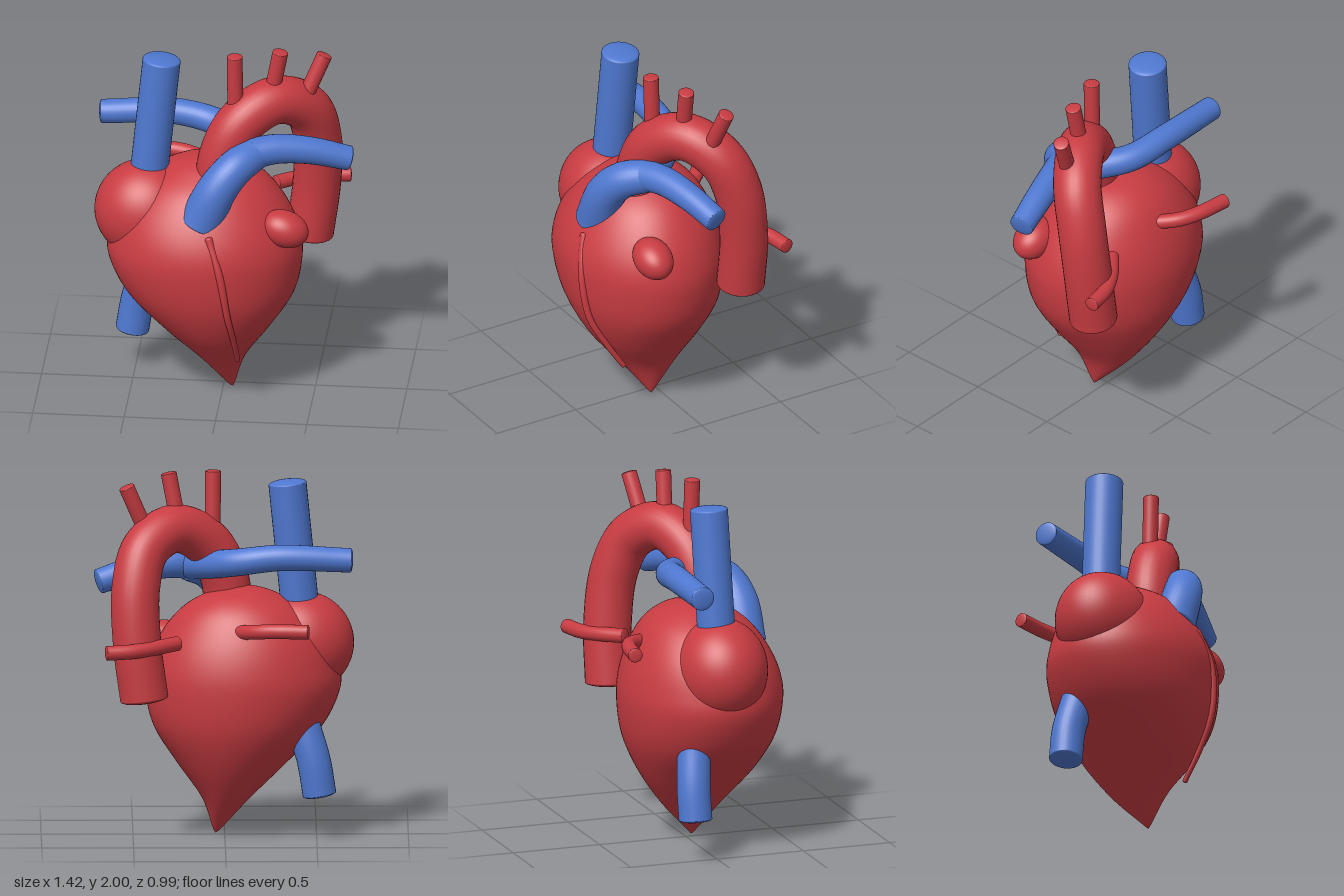
import * as THREE from 'three';
import { mergeVertices } from 'three/addons/utils/BufferGeometryUtils.js';

const red = new THREE.MeshStandardMaterial({ color: 0xc83c42 });
red.name = 'arterial red';
const blue = new THREE.MeshStandardMaterial({ color: 0x4f78d0 });
blue.name = 'venous blue';

const vec = (p) => new THREE.Vector3(...p);

// Weld seams and recompute smooth normals
function smooth(geometry) {
  geometry.deleteAttribute('uv');
  geometry.deleteAttribute('normal');
  const welded = mergeVertices(geometry, 1e-5);
  welded.computeVertexNormals();
  return welded;
}

function ellipsoid(name, material, center, radii, tilt = 0) {
  const mesh = new THREE.Mesh(new THREE.SphereGeometry(1, 48, 32), material);
  mesh.name = name;
  mesh.position.set(...center);
  mesh.scale.set(...radii);
  mesh.rotation.z = tilt;
  return mesh;
}

// Curved vessel tapering from r0 to r1, closed with low domes
function vessel(name, material, points, r0, r1 = r0, dome = 0.2) {
  const group = new THREE.Group();
  group.name = name;
  const curve = new THREE.CatmullRomCurve3(points.map(vec));
  const steps = 48, sides = 28;
  const geo = new THREE.TubeGeometry(curve, steps, 1, sides);
  const pos = geo.attributes.position;
  const v = new THREE.Vector3();
  for (let i = 0; i < pos.count; i++) {
    const t = Math.floor(i / (sides + 1)) / steps;
    const c = curve.getPointAt(t);
    v.fromBufferAttribute(pos, i).sub(c).multiplyScalar(r0 + (r1 - r0) * t).add(c);
    pos.setXYZ(i, v.x, v.y, v.z);
  }
  const wall = new THREE.Mesh(smooth(geo), material);
  wall.name = name + ' wall';
  group.add(wall);
  for (const [t, r, sign] of [[0, r0, -1], [1, r1, 1]]) {
    const cap = new THREE.Mesh(new THREE.SphereGeometry(1, sides, 10, 0, Math.PI * 2, 0, Math.PI / 2), material);
    cap.name = name + ' end';
    cap.position.copy(curve.getPointAt(t));
    cap.scale.set(r, r * dome, r);
    cap.quaternion.setFromUnitVectors(new THREE.Vector3(0, 1, 0), curve.getTangentAt(t).multiplyScalar(sign));
    group.add(cap);
  }
  return group;
}

// Ventricles: a lathe reshaped by side and front/back outlines
function ventricles() {
  // height, right edge, left edge, front edge, back edge
  const rows = [
    [0.0, 0.05, 0.05, 0.05, 0.05],
    [0.03, 0.015, 0.065, 0.075, 0.02],
    [0.2, -0.14, 0.125, 0.2, -0.14],
    [0.4, -0.345, 0.265, 0.36, -0.28],
    [0.6, -0.535, 0.39, 0.455, -0.37],
    [0.8, -0.63, 0.432, 0.487, -0.4],
    [0.95, -0.62, 0.415, 0.475, -0.39],
    [1.1, -0.56, 0.35, 0.41, -0.345],
    [1.235, -0.44, 0.245, 0.31, -0.27],
    [1.32, -0.3, 0.115, 0.19, -0.17],
    [1.358, -0.19, -0.02, 0.1, -0.06],
    [1.367, -0.11, -0.11, 0.03, 0.03],
  ];
  const sides = new THREE.CatmullRomCurve3(rows.map((r) => new THREE.Vector3(r[1], r[0], r[2])), false, 'catmullrom');
  const depth = new THREE.CatmullRomCurve3(rows.map((r) => new THREE.Vector3(r[3], r[0], r[4])), false, 'catmullrom');
  const rings = 72, around = 64;
  const profile = Array.from({ length: rings + 1 }, (_, i) => new THREE.Vector2(1, i / rings));
  const geo = new THREE.LatheGeometry(profile, around);
  const pos = geo.attributes.position;
  for (let i = 0; i < pos.count; i++) {
    const t = pos.getY(i), s = sides.getPoint(t), d = depth.getPoint(t);
    pos.setXYZ(i,
      (s.x + s.z) / 2 + pos.getX(i) * (s.z - s.x) / 2,
      s.y,
      (d.x + d.z) / 2 + pos.getZ(i) * (d.x - d.z) / 2);
  }
  const mesh = new THREE.Mesh(smooth(geo), red);
  mesh.name = 'ventricles';
  return mesh;
}

export function createModel() {
  const heart = new THREE.Group();
  heart.name = 'heart';

  // Chambers
  heart.add(
    ventricles(),
    ellipsoid('right atrium', red, [-0.42, 1.05, 0.05], [0.285, 0.28, 0.255]),
    ellipsoid('left auricle', red, [0.352, 1.043, 0.22], [0.134, 0.1, 0.105], -0.35),
  );

  // Aortic arch and its three branches
  heart.add(vessel('aorta', red, [
    [-0.02, 1.22, 0.1], [0.0, 1.4, 0.09], [0.09, 1.59, 0.06], [0.27, 1.69, -0.04],
    [0.43, 1.6, -0.16], [0.485, 1.4, -0.24], [0.48, 1.1, -0.28], [0.44, 0.79, -0.285],
  ], 0.132, 0.132, 0.2));
  const branches = [
    [[0.066, 1.6, 0.05], [0.063, 1.99, 0.06]],
    [[0.25, 1.7, -0.03], [0.305, 1.99, -0.02]],
    [[0.42, 1.66, -0.09], [0.535, 1.93, -0.135]],
  ];
  branches.forEach((p, i) => heart.add(vessel('arch branch ' + (i + 1), red, p, 0.043)));

  // Great veins
  heart.add(
    vessel('superior vena cava', blue, [[-0.415, 1.2, 0.03], [-0.342, 1.93, 0.01]], 0.104),
    vessel('inferior vena cava', blue, [
      [-0.515, 0.24, -0.13], [-0.485, 0.42, -0.13], [-0.42, 0.65, -0.1], [-0.38, 0.9, -0.05],
    ], 0.092),
  );

  // Pulmonary trunk and its two branches
  heart.add(
    vessel('pulmonary trunk', blue, [
      [-0.1, 1.1, 0.3], [-0.01, 1.3, 0.3], [0.08, 1.41, 0.255], [0.19, 1.465, 0.15],
    ], 0.122, 0.092),
    vessel('left pulmonary artery', blue, [
      [0.17, 1.465, 0.17], [0.3, 1.475, 0.12], [0.48, 1.45, 0.07], [0.685, 1.39, 0.02],
    ], 0.086, 0.068),
    vessel('right pulmonary artery', blue, [
      [0.18, 1.465, 0.13], [0.06, 1.49, -0.02], [-0.07, 1.515, -0.12],
      [-0.3, 1.545, -0.16], [-0.685, 1.53, -0.15],
    ], 0.08, 0.066),
  );

  // Pulmonary veins behind
  heart.add(
    vessel('right pulmonary vein', red, [
      [-0.45, 1.18, -0.455], [-0.28, 1.18, -0.43], [-0.17, 1.17, -0.38], [-0.07, 1.15, -0.27],
    ], 0.04),
    vessel('left pulmonary vein', red, [
      [0.645, 1.065, -0.455], [0.5, 1.07, -0.425], [0.38, 1.08, -0.36], [0.26, 1.09, -0.26],
    ], 0.04),
  );

  // Coronary artery down the front
  heart.add(vessel('coronary artery', red, [
    [-0.045, 1.055, 0.42], [0.02, 0.85, 0.472], [0.06, 0.6, 0.45], [0.085, 0.42, 0.36], [0.098, 0.255, 0.255],
  ], 0.023, 0.014, 0.6));

  return heart;
}
